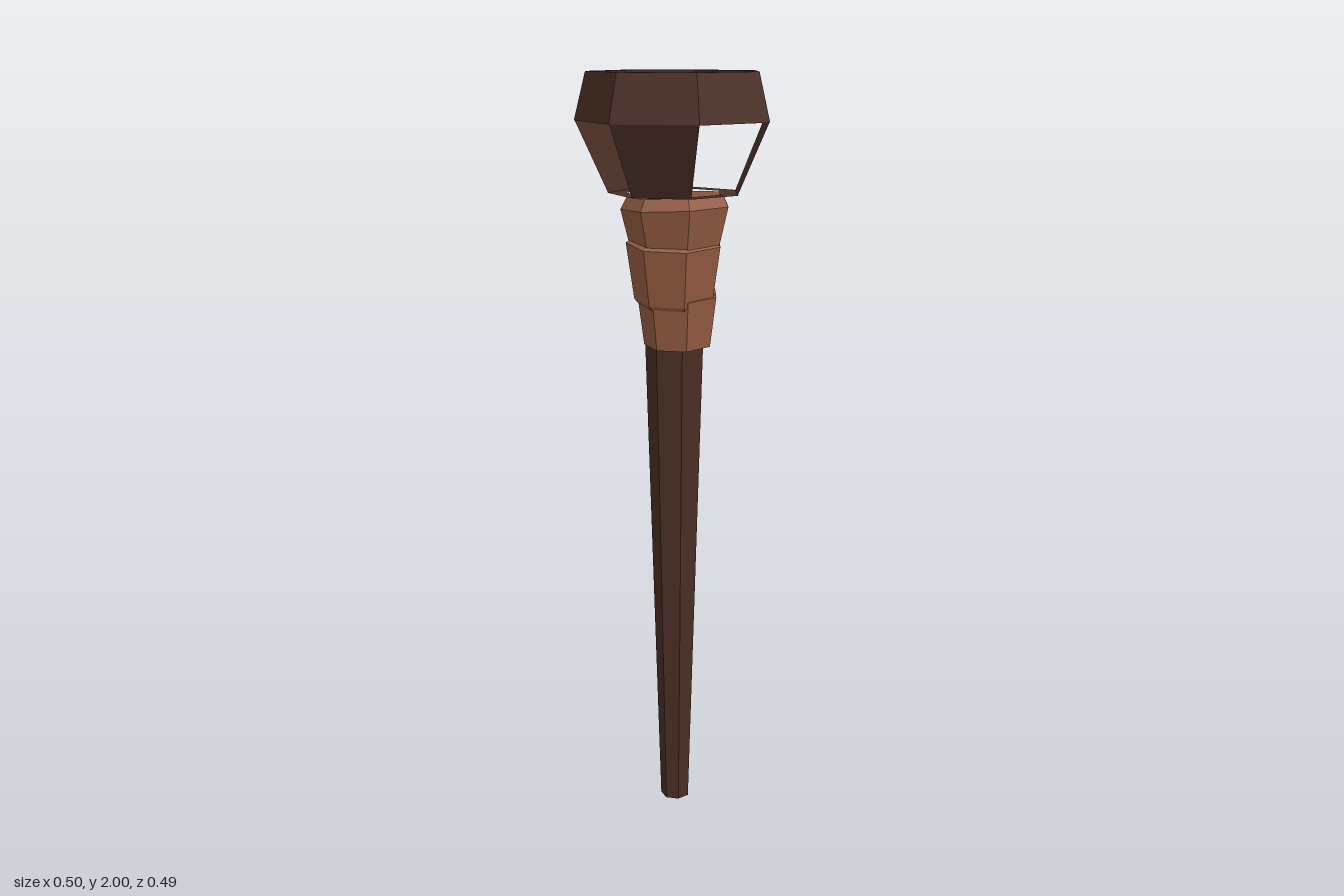
import * as THREE from 'three';

const SIDES = 7, CZ = 0.01;
const ALL = [0, 1, 2, 3, 4, 5, 6];

// Point on a seven-sided ring, with one corner at the back; tilt leans the ring.
function corner(k, [r, y], tilt) {
  const a = (k / SIDES) * Math.PI * 2;
  const x = r * Math.sin(a), z = -r * Math.cos(a);
  return [x + tilt.dx, y + x * tilt.x + z * tilt.z, z + CZ + tilt.dz];
}

// Straight-sided point part-way along a side (t from 0 to 1).
function along(k, t, p, tilt) {
  const a = corner(k, p, tilt), b = corner(k + 1, p, tilt);
  return a.map((v, i) => v + (b[i] - v) * t);
}

// Flat facets swept round the chosen sides of a profile of [radius, y].
function facets(name, material, profile, sides = ALL, t0 = 0, t1 = 1, lean = {}) {
  const tilt = { x: 0, z: 0, dx: 0, dz: 0, ...lean };
  const pos = [];
  for (const k of sides) {
    for (let i = 0; i < profile.length - 1; i++) {
      const a = along(k, t0, profile[i], tilt), b = along(k, t0, profile[i + 1], tilt);
      const c = along(k, t1, profile[i + 1], tilt), d = along(k, t1, profile[i], tilt);
      pos.push(...a, ...b, ...c, ...a, ...c, ...d);
    }
  }
  const geometry = new THREE.BufferGeometry();
  geometry.setAttribute('position', new THREE.Float32BufferAttribute(pos, 3));
  geometry.computeVertexNormals();
  const mesh = new THREE.Mesh(geometry, material);
  mesh.name = name;
  return mesh;
}

export function createModel() {
  const make = (name, color) => new THREE.MeshStandardMaterial({
    name, color, flatShading: true, side: THREE.DoubleSide, roughness: 1,
  });
  const dark = make('darkWood', 0x4a2e24);
  const tan = make('leatherWrap', 0x945c42);
  const model = new THREE.Group();
  model.name = 'torch';

  // Tapered hollow handle with a closed foot
  model.add(facets('handle', dark, [[0, 0], [0.04, 0], [0.08, 1.33]]));

  // Overlapping leather windings, each leaning a little
  const wrap = new THREE.Group();
  wrap.name = 'wrap';
  wrap.add(
    facets('lowerWinding', tan, [[0.078, 1.31], [0.09, 1.31], [0.107, 1.44], [0.1, 1.45]],
      ALL, 0, 1, { x: 0.05, z: -0.03, dx: 0.004, dz: 0.008 }),
    facets('middleWinding', tan, [[0.098, 1.42], [0.106, 1.43], [0.127, 1.575], [0.112, 1.585]],
      ALL, 0, 1, { x: 0.06, z: -0.07, dx: -0.006, dz: 0.006 }),
    facets('upperWinding', tan, [[0.108, 1.56], [0.118, 1.56], [0.144, 1.665], [0.128, 1.695], [0.117, 1.68]],
      ALL, 0, 1, { x: 0.02, z: 0.04, dx: -0.001, dz: 0.006 }),
  );
  model.add(wrap);

  // Cage: floor, alternate slats and a thick rim
  const cage = new THREE.Group();
  cage.name = 'cage';
  cage.add(
    facets('floor', dark, [[0.174, 1.7], [0.124, 1.7]]),
    facets('slats', dark, [[0.172, 1.7], [0.254, 1.88]], [2, 4, 6]),
    facets('brokenSlat', dark, [[0.172, 1.7], [0.254, 1.88]], [0], 0.62, 1),
    facets('brokenLedge', dark, [[0.205, 1.7], [0.172, 1.7]], [0], 0.03, 0.62),
    facets('rim', dark, [[0.24, 1.88], [0.256, 1.88], [0.226, 2], [0.212, 2], [0.24, 1.88]]),
  );
  model.add(cage);
  return model;
}
